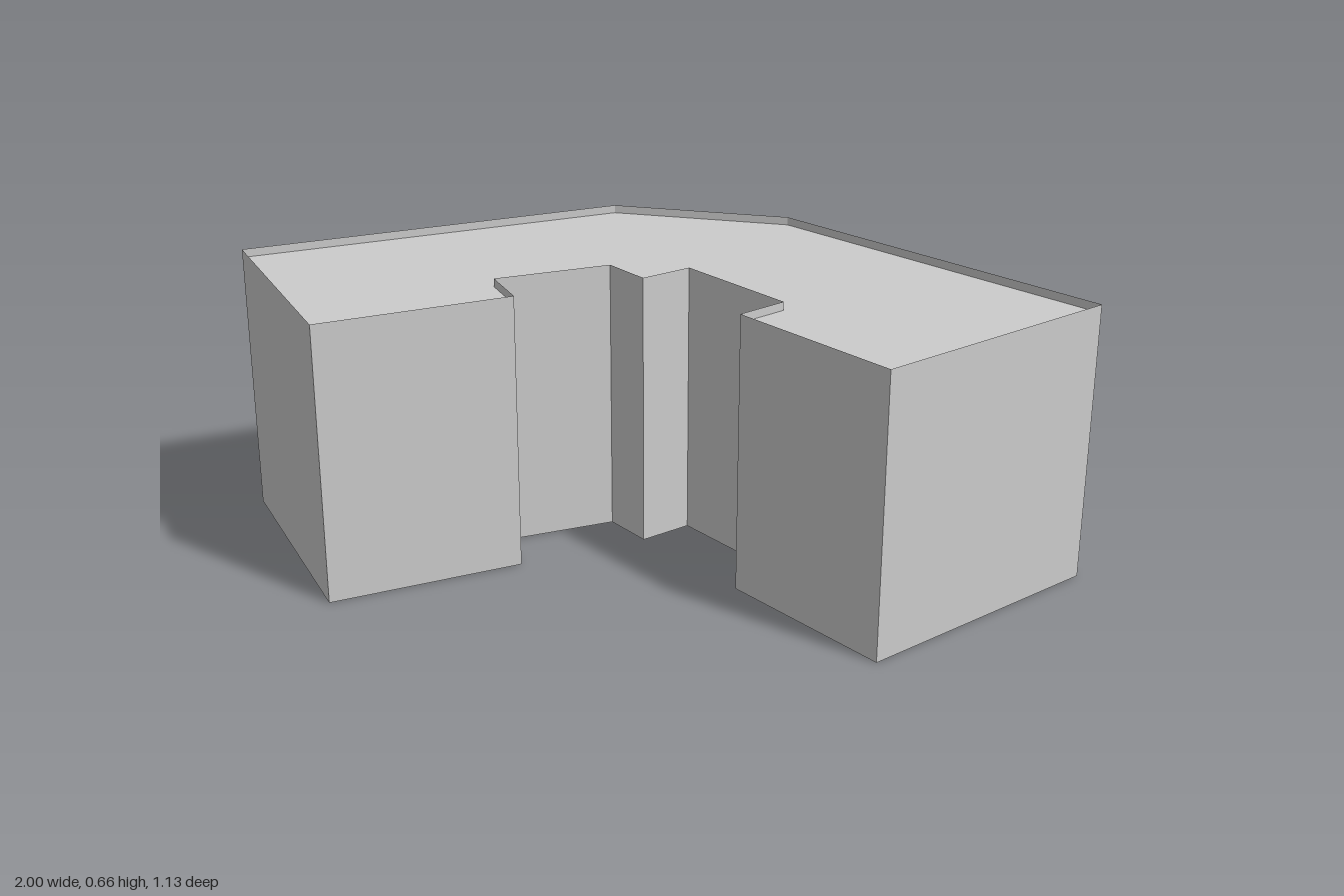
import * as THREE from 'three';

// Footprint corners as [x, z], running along the back, then the front of each wing
const FOOTPRINT = [
  [-0.28, -0.54], [0.175, -0.565], [1, -0.09], [0.64, 0.455], [0.265, 0.215],
  [0.333, 0.104], [0.062, -0.075], [-0.015, 0.033], [-0.12, -0.04],
  [-0.337, 0.142], [-0.246, 0.247], [-0.585, 0.562], [-1, 0.112],
];
const HEIGHT = 0.66;
const ROOF = 0.64; // the walls rise slightly past the roof as a thin parapet

// Upright sheet walls following the footprint, open at the bottom
function wallGeometry() {
  const positions = [];
  FOOTPRINT.forEach(([ax, az], i) => {
    const [bx, bz] = FOOTPRINT[(i + 1) % FOOTPRINT.length];
    positions.push(bx, 0, bz, ax, 0, az, ax, HEIGHT, az);
    positions.push(bx, 0, bz, ax, HEIGHT, az, bx, HEIGHT, bz);
  });
  const geometry = new THREE.BufferGeometry();
  geometry.setAttribute('position', new THREE.Float32BufferAttribute(positions, 3));
  geometry.computeVertexNormals();
  return geometry;
}

// Flat roof sheet with the same outline
function roofGeometry() {
  const shape = new THREE.Shape(FOOTPRINT.map(([x, z]) => new THREE.Vector2(x, -z)));
  return new THREE.ShapeGeometry(shape).rotateX(-Math.PI / 2).translate(0, ROOF, 0);
}

export function createModel() {
  const material = new THREE.MeshStandardMaterial({
    color: 0xcccccc, flatShading: true, side: THREE.DoubleSide,
  });
  const building = new THREE.Group();
  building.name = 'building';

  const walls = new THREE.Mesh(wallGeometry(), material);
  walls.name = 'walls';
  const roof = new THREE.Mesh(roofGeometry(), material);
  roof.name = 'roof';

  building.add(walls, roof);
  return building;
}
